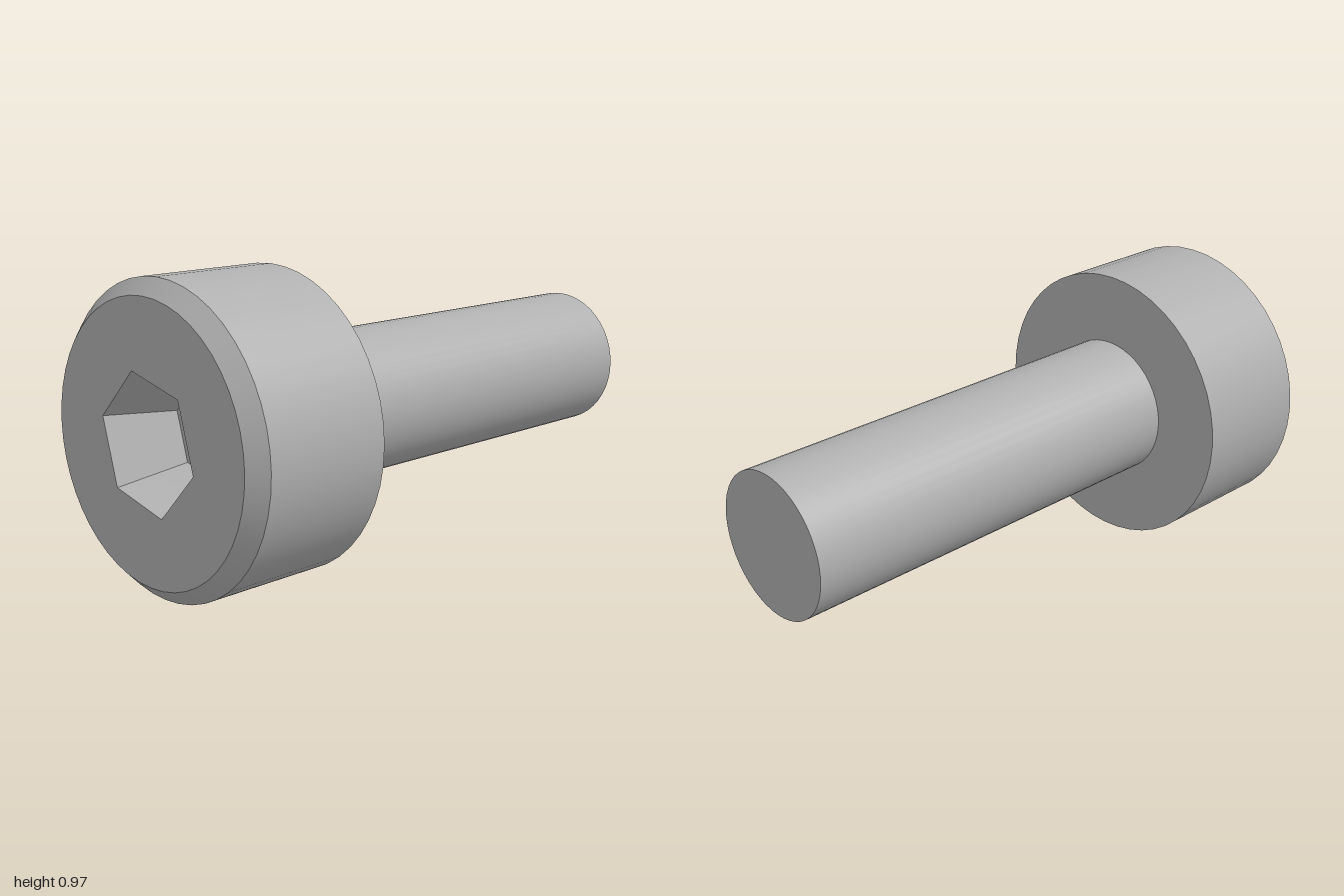
import * as THREE from 'three';
import { mergeGeometries } from 'three/addons/utils/BufferGeometryUtils.js';

const SIDES = 48;
const HEAD_R = 0.485, FACE_R = 0.435, SHAFT_R = 0.242;
const BACK = -0.976, SHOULDER = 0.489, CHAMFER = 0.925, FRONT = 0.976;
const HEX_R = 0.219, FLOOR_R = 0.163, HEX_DEPTH = 0.235, HEX_TURN = THREE.MathUtils.degToRad(46);

// Solid of revolution along z; each profile segment is its own strip, so edges stay sharp
function turned(profile) {
  const strips = [];
  for (let i = 0; i < profile.length - 1; i++) {
    const ends = [profile[i], profile[i + 1]].map(([r, z]) => new THREE.Vector2(r, z));
    strips.push(new THREE.LatheGeometry(ends, SIDES));
  }
  return mergeGeometries(strips).rotateX(Math.PI / 2);
}

// Regular polygon outline in the xy plane
function polygon(radius, sides, turn = 0) {
  return Array.from({ length: sides }, (_, i) => {
    const a = turn + (i / sides) * Math.PI * 2;
    return new THREE.Vector2(radius * Math.cos(a), radius * Math.sin(a));
  });
}

export function createModel() {
  const model = new THREE.Group();
  model.name = 'socketHeadBolt';
  const steel = new THREE.MeshStandardMaterial({ color: 0xb0b0b0 });
  steel.name = 'steel grey';

  const bolt = new THREE.Group();
  bolt.name = 'bolt';
  const add = (name, geometry) => {
    const mesh = new THREE.Mesh(geometry, steel);
    mesh.name = name;
    bolt.add(mesh);
  };

  // Plain shaft with a flat end
  add('shaft', turned([[0, BACK], [SHAFT_R, BACK], [SHAFT_R, SHOULDER]]));

  // Head: shoulder ring, cylindrical wall and chamfer
  add('head', turned([[SHAFT_R, SHOULDER], [HEAD_R, SHOULDER], [HEAD_R, CHAMFER], [FACE_R, FRONT]]));

  // Front face with the hexagonal opening
  const face = new THREE.Shape(polygon(FACE_R, SIDES));
  face.holes.push(new THREE.Path(polygon(HEX_R, 6, HEX_TURN)));
  add('headFace', new THREE.ShapeGeometry(face).translate(0, 0, FRONT));

  // Tapered socket walls, mirrored so that they face inwards
  const walls = new THREE.CylinderGeometry(HEX_R, FLOOR_R, HEX_DEPTH, 6, 1, true)
    .toNonIndexed().scale(-1, 1, 1);
  const pos = walls.attributes.position;
  for (let i = 0; i < pos.count; i += 3) {
    const b = new THREE.Vector3().fromBufferAttribute(pos, i + 1);
    const c = new THREE.Vector3().fromBufferAttribute(pos, i + 2);
    pos.setXYZ(i + 1, b.x, b.y, b.z);
    pos.setXYZ(i + 2, c.x, c.y, c.z);
  }
  walls.rotateX(Math.PI / 2).rotateZ(HEX_TURN - Math.PI / 6)
    .translate(0, 0, FRONT - HEX_DEPTH / 2).computeVertexNormals();
  add('socketWalls', walls);

  // Socket floor
  const floor = new THREE.Shape(polygon(FLOOR_R, 6, HEX_TURN));
  add('socketFloor', new THREE.ShapeGeometry(floor).translate(0, 0, FRONT - HEX_DEPTH));

  // The bolt lies level, turned slightly about the vertical
  bolt.rotation.y = THREE.MathUtils.degToRad(-4.5);
  bolt.position.set(0.053, HEAD_R, -0.008);
  model.add(bolt);
  return model;
}
